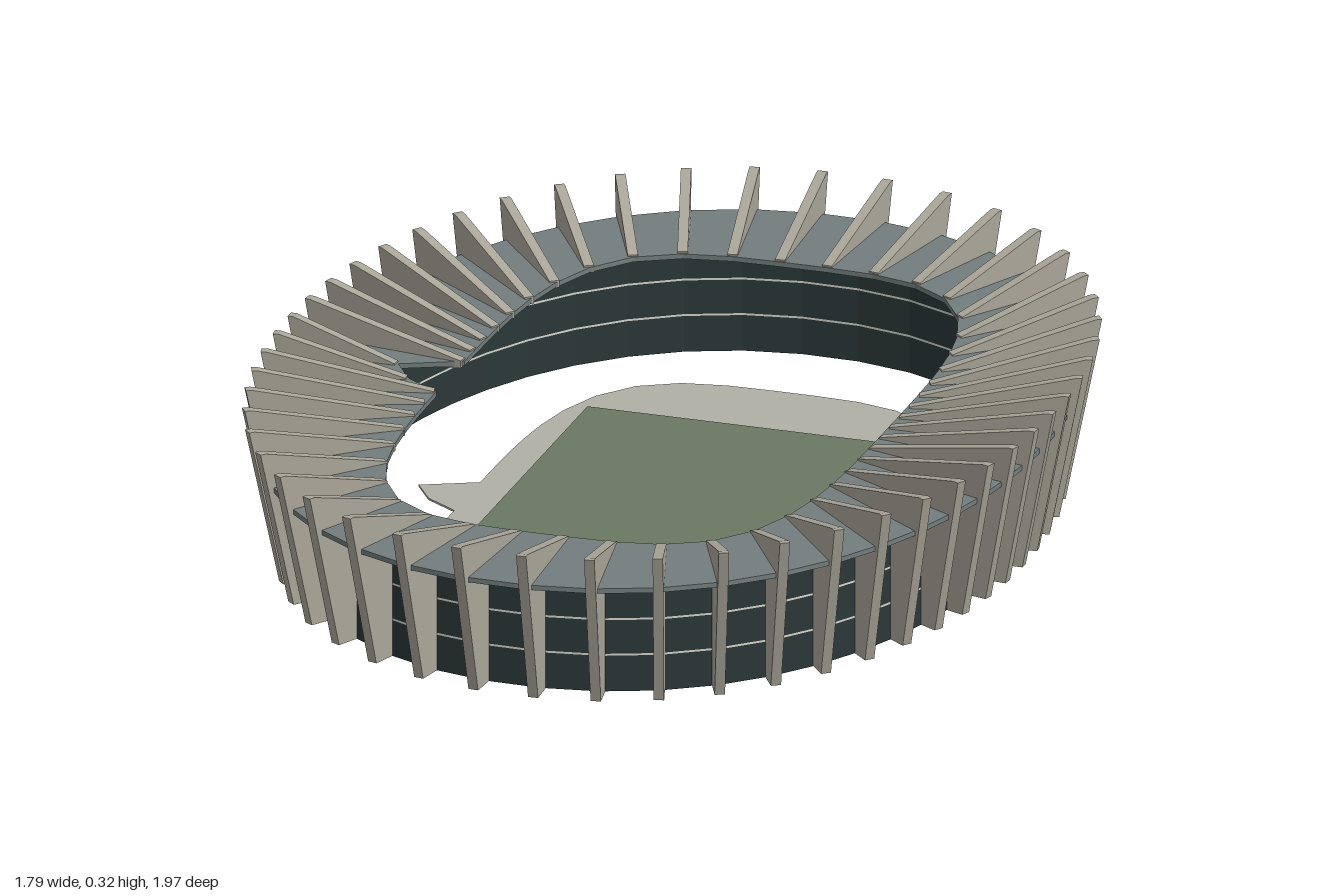
import * as THREE from 'three';

const COUNT = 50;                       // bays around the bowl
const AXIS = THREE.MathUtils.degToRad(54.9); // heading of the long axis
const WALL = 0.87;                      // facade position relative to fin tips

const mat = (name, color) => {
  const m = new THREE.MeshStandardMaterial({ color });
  m.name = name;
  return m;
};

// polar radius of a superellipse turned to the long axis
function superRadius(theta, a, b, n) {
  const t = theta - AXIS;
  return (Math.abs(Math.cos(t) / a) ** n + Math.abs(Math.sin(t) / b) ** n) ** (-1 / n);
}
const angle = (k) => (k / COUNT) * Math.PI * 2;
const tipRadius = (k) => superRadius(angle(k), 1.055, 0.777, 2.12);
// the roof opening has a notch two bays wide on one side
const notch = { 20: 0.556, 21: 0.516 };
const openRadius = (k) => notch[k] ?? superRadius(angle(k), 0.75, 0.44, 3.6);

function outline(radius) {
  return Array.from({ length: COUNT }, (_, k) =>
    new THREE.Vector2(Math.cos(angle(k)), Math.sin(angle(k))).multiplyScalar(radius(k)));
}

// flat slab with an optional opening, from height y0 to y1
function slab(name, material, y0, y1, outer, inner) {
  const shape = new THREE.Shape(outline(outer));
  if (inner) shape.holes.push(new THREE.Path(outline(inner)));
  const geo = new THREE.ExtrudeGeometry(shape, { depth: y1 - y0, bevelEnabled: false });
  geo.rotateX(-Math.PI / 2).translate(0, y0, 0);
  const mesh = new THREE.Mesh(geo, material);
  mesh.name = name;
  return mesh;
}

export function createModel() {
  const glass = mat('dark glass', 0x2b3738);
  const concrete = mat('fin concrete', 0xaaa699);
  const roofGrey = mat('roof grey', 0x737d7d);
  const trackGrey = mat('track grey', 0xb1b0a6);
  const grass = mat('grass green', 0x6a7861);
  const trim = mat('pale trim', 0xd6d6cc);

  const group = new THREE.Group();
  group.name = 'stadium';

  // track and pitch
  group.add(slab('track', trackGrey, 0.002, 0.006, (k) => openRadius(k) * 0.925));
  const pitch = new THREE.Mesh(new THREE.BoxGeometry(0.99, 0.009, 0.675), grass);
  pitch.name = 'pitch';
  pitch.position.y = 0.0045;
  pitch.rotation.y = AXIS;
  group.add(pitch);

  // three glazed storeys with thin floor lines between them
  const facade = new THREE.Group();
  facade.name = 'facade';
  const wallOut = (k) => tipRadius(k) * WALL;
  const wallIn = (k) => tipRadius(k) * WALL - 0.008;
  for (let i = 0; i < 3; i++) {
    const y = i * 0.073;
    facade.add(slab('glassStorey', glass, y + (i ? 0.004 : 0), y + 0.073, wallOut, wallIn));
    if (i) facade.add(slab('floorLine', trim, y, y + 0.004, wallOut, wallIn));
  }
  group.add(facade);

  // roof ring, raised clear of the facade
  group.add(slab('roof', roofGrey, 0.239, 0.249, (k) => tipRadius(k) * 0.965, openRadius));

  // radial fins: leaning leg outside, tapering rib over and under the roof
  const fins = new THREE.Group();
  fins.name = 'fins';
  for (let k = 0; k < COUNT; k++) {
    const tip = tipRadius(k), inner = openRadius(k) + 0.004;
    const profile = new THREE.Shape([
      [tip * WALL, 0], [tip * 0.92, 0], [tip, 0.322], [tip - 0.012, 0.322],
      [inner, 0.252], [inner, 0.237], [tip * WALL, 0.212],
    ].map(([x, y]) => new THREE.Vector2(x, y)));
    const geo = new THREE.ExtrudeGeometry(profile, { depth: 0.02, bevelEnabled: false });
    geo.translate(0, 0, -0.01);
    const fin = new THREE.Mesh(geo, concrete);
    fin.name = 'fin';
    fin.rotation.y = angle(k);
    fins.add(fin);
  }
  group.add(fins);

  return group;
}
